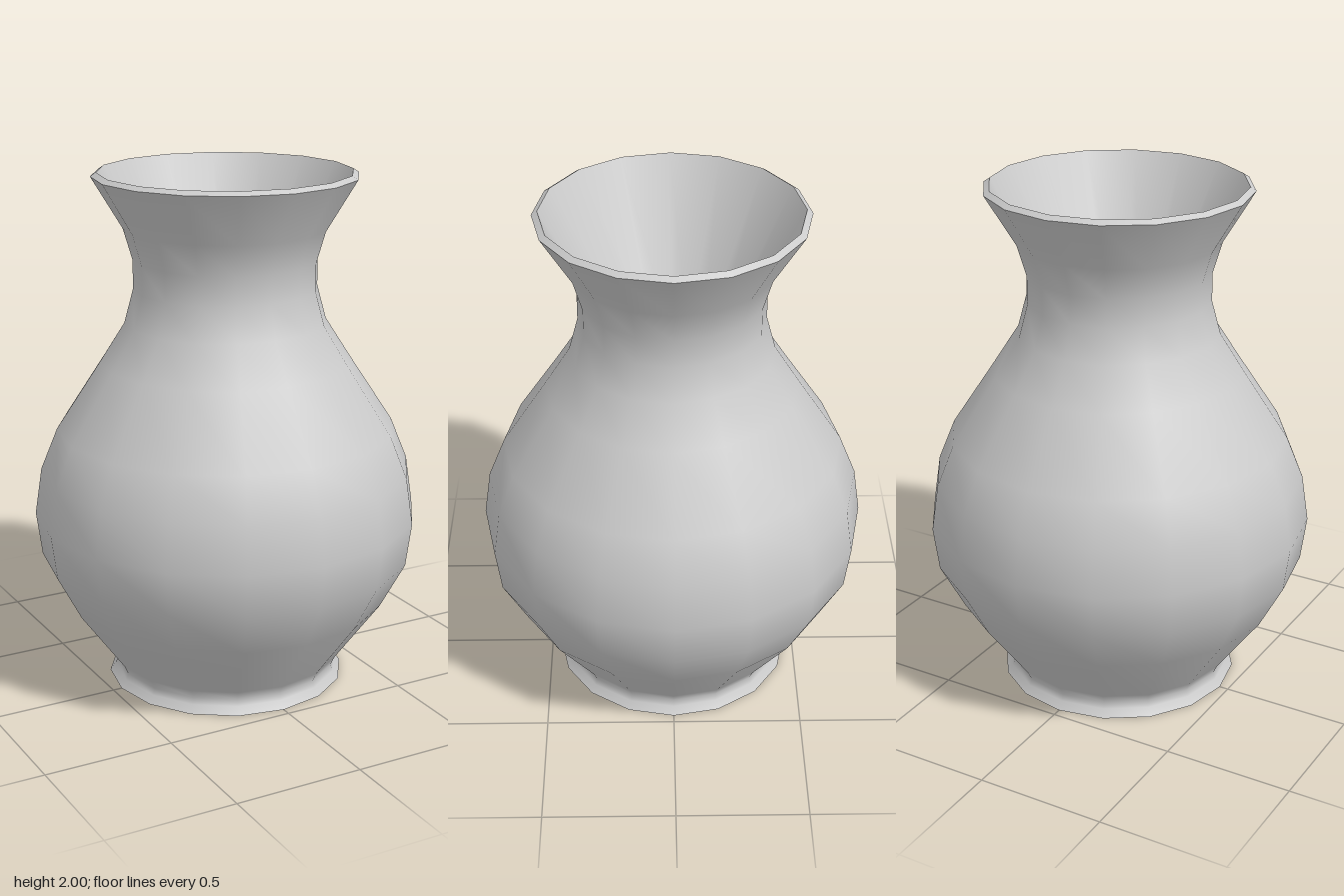
import * as THREE from 'three';

const SIDES = 16;

export function createModel() {
  const group = new THREE.Group();
  group.name = 'vase';
  const material = new THREE.MeshStandardMaterial({ color: 0xcccccc });

  // Turns a [radius, height] profile; each part is smooth, with hard edges between parts
  const turn = (name, profile) => {
    const points = profile.map(([r, y]) => new THREE.Vector2(r, y));
    const mesh = new THREE.Mesh(new THREE.LatheGeometry(points, SIDES), material);
    mesh.name = name;
    group.add(mesh);
  };

  // Flat underside
  turn('base', [[0, 0], [0.465, 0]]);

  // Small foot, round belly, narrow neck and flared mouth
  turn('body', [
    [0.465, 0], [0.443, 0.03], [0.434, 0.055], [0.45, 0.09],
    [0.625, 0.33], [0.72, 0.51], [0.742, 0.68], [0.715, 0.86], [0.65, 1.02],
    [0.48, 1.28], [0.385, 1.43], [0.35, 1.56], [0.35, 1.67], [0.385, 1.79],
    [0.502, 1.985],
  ]);

  // Bevelled lip
  turn('rim', [[0.502, 1.985], [0.48, 2]]);

  // Funnel-shaped inside with a flat floor
  turn('innerWall', [[0.48, 2], [0.165, 1.4]]);
  turn('innerFloor', [[0.165, 1.4], [0, 1.4]]);

  return group;
}
